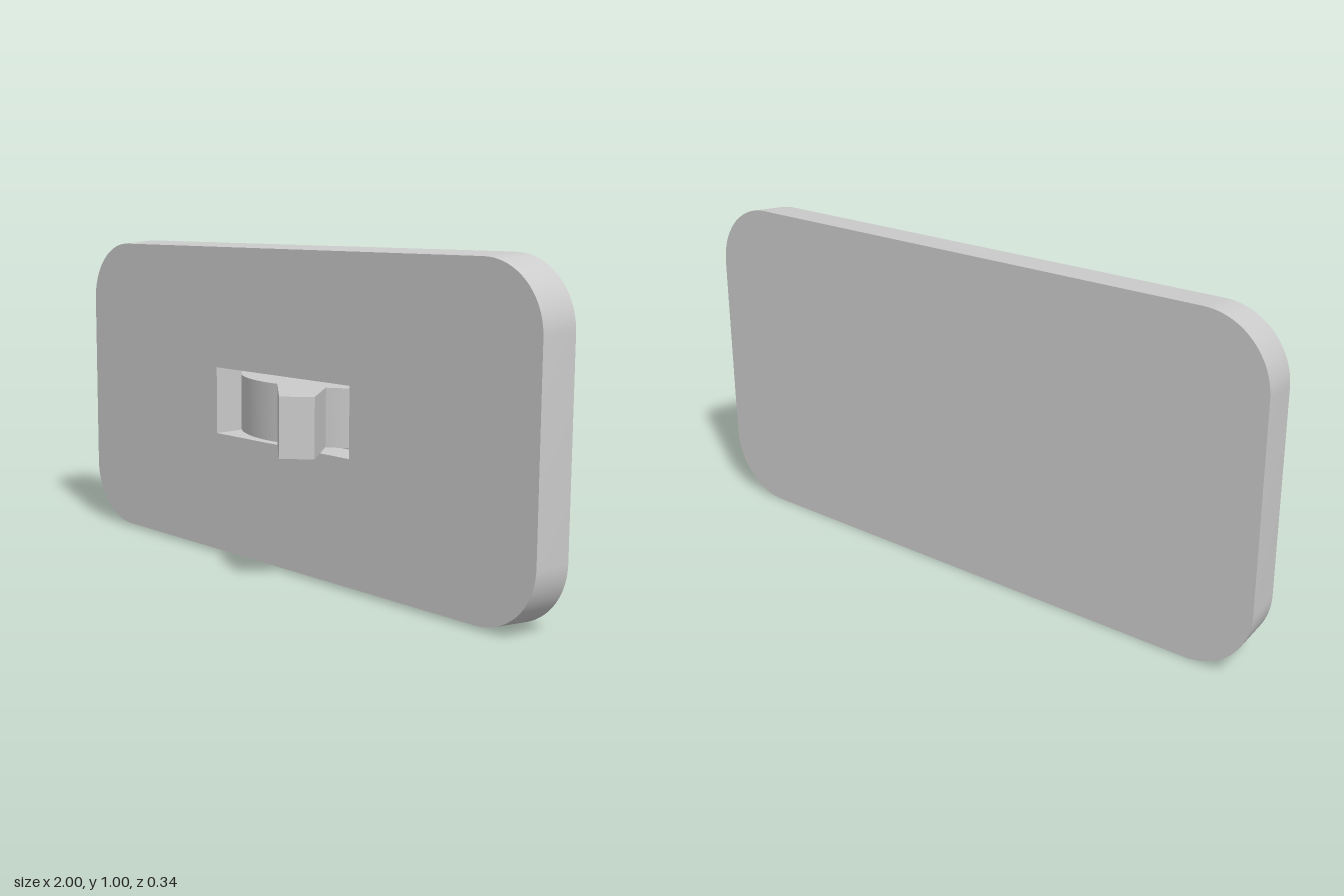
import * as THREE from 'three';
import { toCreasedNormals } from 'three/addons/utils/BufferGeometryUtils.js';

const grey = new THREE.MeshStandardMaterial({ color: 0xcccccc });
const BACK = -0.17, FRONT = -0.05, FLOOR = -0.16, MID_Y = 0.5;
const SLOT = { x: 0.305, y: 0.107 }; // half sizes of the recess

function part(name, geometry) {
  const mesh = new THREE.Mesh(toCreasedNormals(geometry, 0.5), grey);
  mesh.name = name;
  return mesh;
}

// Rounded plate with a rectangular recess; its rim narrows toward the front
function makePlate() {
  const w = 1, h = 0.5, r = 0.2;
  const shape = new THREE.Shape();
  shape.absarc(w - r, h - r, r, 0, Math.PI / 2);
  shape.absarc(r - w, h - r, r, Math.PI / 2, Math.PI);
  shape.absarc(r - w, r - h, r, Math.PI, Math.PI * 1.5);
  shape.absarc(w - r, r - h, r, Math.PI * 1.5, Math.PI * 2);
  shape.closePath();

  const hole = new THREE.Path();
  hole.moveTo(-SLOT.x, -SLOT.y);
  hole.lineTo(-SLOT.x, SLOT.y);
  hole.lineTo(SLOT.x, SLOT.y);
  hole.lineTo(SLOT.x, -SLOT.y);
  hole.closePath();
  shape.holes.push(hole);

  const depth = FRONT - BACK;
  const geo = new THREE.ExtrudeGeometry(shape, { depth, bevelEnabled: false, curveSegments: 10 });
  const p = geo.attributes.position;
  for (let i = 0; i < p.count; i++) {
    const x = p.getX(i), y = p.getY(i);
    const outer = Math.abs(x) > SLOT.x + 0.01 || Math.abs(y) > SLOT.y + 0.01;
    if (outer && p.getZ(i) > depth / 2) p.setXY(i, x * 0.991, y * 0.982);
  }
  geo.translate(0, MID_Y, BACK);
  return part('plate', geo);
}

// Curved rocker with a slanted lever, drawn in the x-z plane and extruded in height
function makeToggle() {
  const cz = -0.395, r = 0.381, width = 0.178;
  const angle = (x) => Math.acos(x / r);
  const shape = new THREE.Shape();
  shape.moveTo(-0.3, FLOOR);
  shape.absarc(0, cz, r, angle(0.3), angle(0.19), false);
  shape.lineTo(0.315, 0.095);
  shape.lineTo(0.245, 0.167);
  shape.absarc(0, cz, r, angle(0.03), angle(-0.3), false);
  shape.closePath();
  const geo = new THREE.ExtrudeGeometry(shape, { depth: width, bevelEnabled: false, curveSegments: 10 });
  geo.rotateX(Math.PI / 2).translate(0, MID_Y + width / 2, 0);
  return part('toggle', geo);
}

export function createModel() {
  const group = new THREE.Group();
  group.name = 'toggleSwitch';
  // Thin panel closing the back of the recess
  const floor = new THREE.BoxGeometry(SLOT.x * 2, SLOT.y * 2, FLOOR - BACK);
  floor.translate(0, MID_Y, (FLOOR + BACK) / 2);
  group.add(makePlate(), part('recessFloor', floor), makeToggle());
  return group;
}
